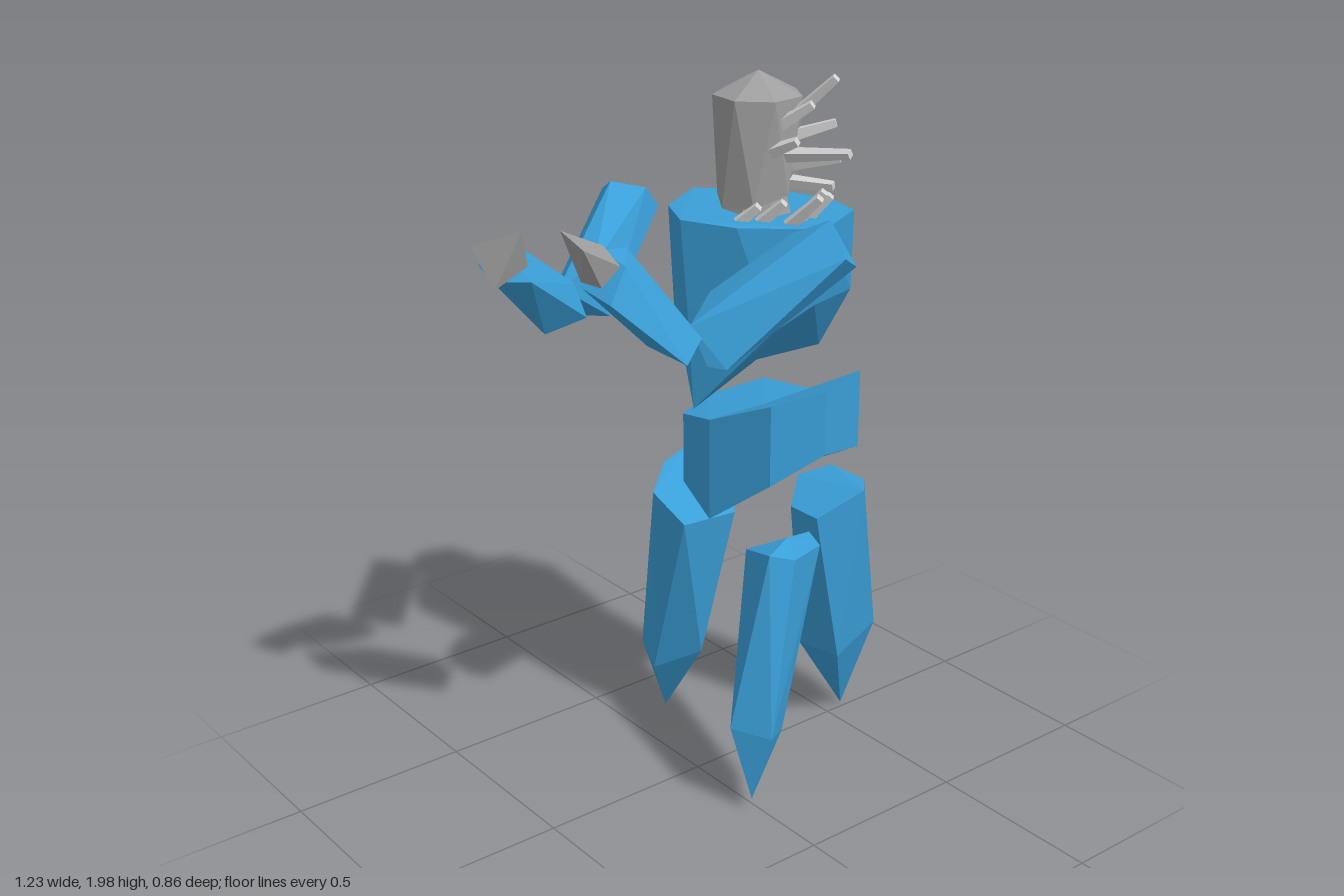
import * as THREE from 'three';
import { ConvexGeometry } from 'three/addons/geometries/ConvexGeometry.js';

export function createModel() {
  const model = new THREE.Group();
  model.name = 'shardGolem';
  const material = (name, color) => {
    const m = new THREE.MeshStandardMaterial({ color });
    m.name = name;
    return m;
  };
  const blue = material('blueStone', 0x3a9fd8);
  const grey = material('greyStone', 0x9e9e9e);
  const pale = material('paleStone', 0xd2d2d2);

  // A faceted stone spanned by its corner points
  function stone(name, mat, points) {
    const geo = new ConvexGeometry(points.map((p) => new THREE.Vector3(...p)));
    const mesh = new THREE.Mesh(geo, mat);
    mesh.name = name;
    model.add(mesh);
  }

  // A four-sided tapering spike between two points
  function spike(name, a, b, r) {
    const from = new THREE.Vector3(...a), to = new THREE.Vector3(...b);
    const dir = to.clone().sub(from);
    const geo = new THREE.CylinderGeometry(r * 0.65, r, dir.length(), 4).toNonIndexed();
    geo.computeVertexNormals();
    const mesh = new THREE.Mesh(geo, pale);
    mesh.name = name;
    mesh.position.copy(from).add(to).multiplyScalar(0.5);
    mesh.quaternion.setFromUnitVectors(new THREE.Vector3(0, 1, 0), dir.normalize());
    model.add(mesh);
  }

  // Ring of points about the neck axis; height may vary with x
  const ring = (n, r, y, turn = 0) => Array.from({ length: n }, (_, i) => {
    const a = turn + i / n * Math.PI * 2, x = 0.195 + Math.cos(a) * r;
    return [x, typeof y === 'function' ? y(x) : y, Math.sin(a) * r];
  });

  // Head with twisted facets and its jaw sloping down, and flared neck
  stone('head', grey, [
    [0.195, 1.985, 0],
    ...ring(7, 0.118, 1.925, 0.1),
    ...ring(7, 0.108, (x) => 1.64 + (x - 0.09) * 0.32, 0.1 + Math.PI / 7),
  ]);
  stone('neck', grey, [...ring(7, 0.065, 1.72), ...ring(7, 0.095, 1.6)]);

  // Face spikes and collar spikes
  [
    [[0.22, 1.85, 0.07], [0.28, 1.985, 0.2]],
    [[0.2, 1.78, 0.08], [0.26, 1.81, 0.28]],
    [[0.23, 1.82, 0.07], [0.32, 1.86, 0.16]],
    [[0.22, 1.75, 0.07], [0.3, 1.78, 0.2]],
    [[0.21, 1.71, 0.07], [0.28, 1.71, 0.2]],
    [[0.18, 1.85, 0.08], [0.23, 1.92, 0.17]],
    [[0.16, 1.79, 0.08], [0.19, 1.83, 0.16]],
  ].forEach(([a, b]) => spike('faceSpike', a, b, 0.021));
  [
    [[0.07, 1.61, 0.06], [0.1, 1.67, 0.12]],
    [[0.12, 1.61, 0.09], [0.15, 1.68, 0.16]],
    [[0.17, 1.61, 0.15], [0.2, 1.7, 0.24]],
    [[0.22, 1.61, 0.13], [0.25, 1.7, 0.2]],
    [[0.26, 1.61, 0.12], [0.29, 1.68, 0.18]],
  ].forEach(([a, b]) => spike('collarSpike', a, b, 0.021));

  // Chest: flat octagonal top; two halves so the underside bends at the middle
  const chestMiddle = [
    [0.205, 1.62, -0.28], [0.21, 1.62, 0.25], [0.225, 1.405, 0.2],
    [0.21, 1.37, -0.21], [0.21, 1.2, -0.15], [0.21, 1.2, -0.01]];
  stone('chestLeft', blue, [...chestMiddle,
    [0.4, 1.61, -0.15], [0.47, 1.6, -0.01], [0.42, 1.61, 0.13], [0.425, 1.39, 0.12],
    [0.43, 1.44, -0.12], [0.35, 1.33, -0.185], [0.425, 1.2, 0]]);
  stone('chestRight', blue, [...chestMiddle,
    [0.02, 1.63, 0.13], [-0.065, 1.64, 0.01], [0.02, 1.63, -0.15], [-0.035, 1.4, 0],
    [0.11, 1.345, 0.17], [0.03, 1.36, -0.14], [0.01, 1.1, -0.03]]);

  // Waist: four blocks meeting at bends, each spanned by three upright edges [x, top, bottom, z]
  const middle = [0.225, 1.07, 0.86, 0];
  const inner = [0.04, 1.07, 0.78, 0], outer = [0.41, 1.07, 0.87, 0];
  const front = [0.23, 1.18, 1.0, 0.25], back = [0.22, 1.03, 0.88, -0.235];
  [
    ['waistFrontRight', inner, front, [0.1, 1.147, 0.92, 0.18]],
    ['waistFrontLeft', outer, front, [0.41, 1.18, 0.96, 0.185]],
    ['waistBackRight', inner, back, [0.06, 1.04, 0.84, -0.14]],
    ['waistBackLeft', outer, back, [0.4, 1.05, 0.88, -0.2]],
  ].forEach(([name, ...edges]) => stone(name, blue,
    [middle, ...edges].flatMap(([x, top, bottom, z]) => [[x, top, z], [x, bottom, z]])));

  // Legs: long stones ending in a point
  stone('frontLeg', blue, [
    [0.03, 0.77, 0.265], [0.05, 0.74, 0.145], [0.12, 0.787, 0.234], [0.235, 0.755, 0.19], [0.235, 0.73, 0.235], [0.1, 0.745, 0.287],
    [-0.07, 0.27, 0.23], [0, 0.25, 0.32], [0.08, 0.23, 0.27], [0.08, 0.24, 0.18], [0, 0.27, 0.17],
    [-0.025, 0.05, 0.27]]);
  stone('backLeg', blue, [
    [0, 0.8, -0.2], [0.1, 0.84, -0.28], [0.22, 0.865, -0.305], [0.3, 0.78, -0.22], [0.2, 0.725, -0.085], [0.02, 0.735, -0.085],
    [0.09, 0.23, -0.38], [0.2, 0.23, -0.375], [0.24, 0.2, -0.28], [0.14, 0.27, -0.16], [0.05, 0.2, -0.27],
    [0.145, 0.01, -0.34]]);
  stone('sideLeg', blue, [
    [0.335, 0.735, 0.11], [0.335, 0.735, 0], [0.47, 0.8, 0.155], [0.54, 0.79, 0.08], [0.54, 0.79, -0.06], [0.44, 0.775, -0.09],
    [0.61, 0.31, 0.07], [0.61, 0.31, -0.07], [0.5, 0.28, -0.115], [0.4, 0.27, -0.02], [0.43, 0.27, 0.11],
    [0.57, 0.01, -0.02]]);

  // Front arm
  stone('frontUpperArm', blue, [
    [0.135, 1.68, 0.35], [0.12, 1.6, 0.425], [0.19, 1.56, 0.39], [0.19, 1.545, 0.29], [0.1, 1.63, 0.25],
    [-0.08, 1.49, 0.15], [-0.19, 1.44, 0.21], [-0.17, 1.34, 0.25], [-0.14, 1.335, 0.29], [-0.06, 1.36, 0.19]]);
  stone('frontForearm', blue, [
    [-0.2, 1.45, 0.2], [-0.21, 1.43, 0.28], [-0.29, 1.39, 0.325], [-0.33, 1.42, 0.22], [-0.26, 1.42, 0.17],
    [-0.335, 1.65, 0.15], [-0.4, 1.65, 0.13], [-0.37, 1.6, 0.105], [-0.46, 1.57, 0.14], [-0.45, 1.55, 0.24], [-0.39, 1.63, 0.22]]);
  stone('frontHand', grey, [
    [-0.505, 1.715, 0.12], [-0.51, 1.69, 0.22], [-0.39, 1.66, 0.13], [-0.42, 1.64, 0.24],
    [-0.47, 1.59, 0.15], [-0.46, 1.59, 0.22]]);

  // Back arm
  stone('backUpperArm', blue, [
    [0.01, 1.62, -0.43], [-0.02, 1.66, -0.35], [0.06, 1.64, -0.3], [0.11, 1.58, -0.31], [0.07, 1.56, -0.4],
    [-0.27, 1.43, -0.26], [-0.285, 1.45, -0.215], [-0.2, 1.5, -0.18], [-0.18, 1.37, -0.14], [-0.2, 1.35, -0.24]]);
  stone('backForearm', blue, [
    [-0.265, 1.4, -0.23], [-0.26, 1.385, -0.13], [-0.37, 1.355, -0.16], [-0.33, 1.48, -0.27], [-0.27, 1.47, -0.17],
    [-0.5, 1.62, -0.13], [-0.535, 1.56, -0.2], [-0.55, 1.54, -0.11], [-0.475, 1.54, -0.055], [-0.45, 1.61, -0.17]]);
  stone('backHand', grey, [
    [-0.615, 1.645, -0.1], [-0.51, 1.68, -0.035], [-0.47, 1.61, -0.125], [-0.55, 1.6, -0.17],
    [-0.48, 1.58, -0.06], [-0.565, 1.53, -0.08]]);

  return model;
}
